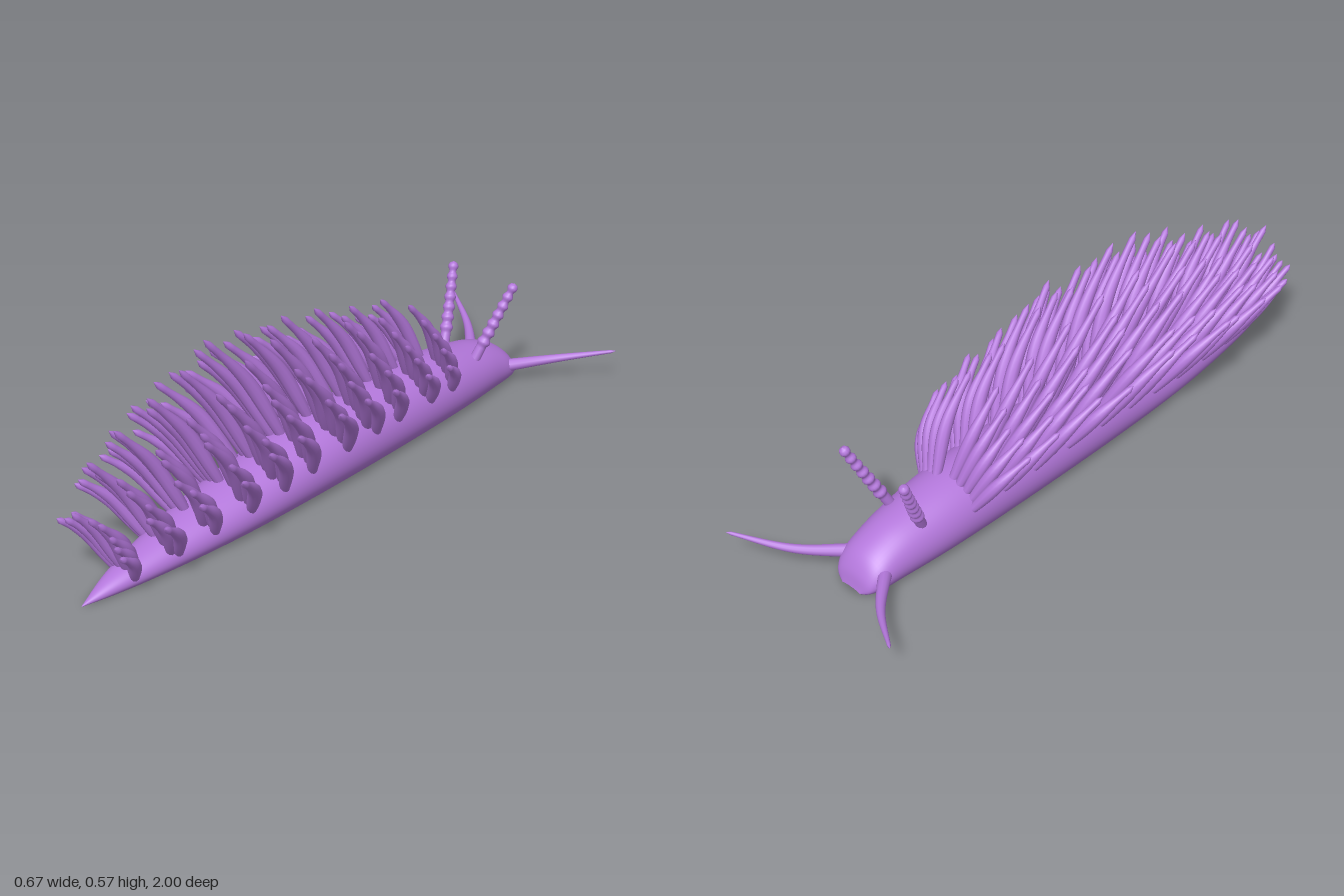
import * as THREE from 'three';
import { mergeVertices } from 'three/addons/utils/BufferGeometryUtils.js';

const V = (x, y, z) => new THREE.Vector3(x, y, z);

// Body outline from head to tail: half width, height, z
const outline = new THREE.CatmullRomCurve3([
  [0.035, 0.01, -0.84], [0.068, 0.06, -0.825], [0.088, 0.105, -0.79], [0.1, 0.145, -0.71],
  [0.113, 0.17, -0.6], [0.122, 0.188, -0.48], [0.13, 0.202, -0.2], [0.13, 0.195, 0.1],
  [0.117, 0.15, 0.4], [0.095, 0.115, 0.6], [0.06, 0.07, 0.8], [0.035, 0.042, 0.9], [0.001, 0.002, 1],
].map(p => V(...p)));

// Rounded section with a flat sole; a = angle from +x, over the back
function section(o, a) {
  const s = Math.sin(a);
  return V(o.x * Math.cos(a), o.y * (0.4 + (s > 0 ? 0.6 : 0.5657) * s), o.z);
}

// Outline at a given z, by bisection
function outlineAt(z) {
  let lo = 0, hi = 1;
  for (let i = 0; i < 30; i++) {
    const m = (lo + hi) / 2;
    if (outline.getPoint(m).z < z) lo = m; else hi = m;
  }
  return outline.getPoint(lo);
}

// Grid whose vertices are placed by fn(u, v)
function sheet(nu, nv, fn) {
  const g = new THREE.PlaneGeometry(1, 1, nu, nv);
  const p = g.attributes.position;
  for (let i = 0; i < p.count; i++) {
    const q = fn(p.getX(i) + 0.5, p.getY(i) + 0.5);
    p.setXYZ(i, q.x, q.y, q.z);
  }
  g.computeVertexNormals();
  return g;
}

// Tube along points with radius given by rule r(t)
function taperedTube(points, segs, sides, r) {
  const curve = new THREE.CatmullRomCurve3(points);
  const g = new THREE.TubeGeometry(curve, segs, 1, sides, false);
  const p = g.attributes.position, q = new THREE.Vector3();
  for (let i = 0; i <= segs; i++) {
    const c = curve.getPointAt(i / segs), rad = r(i / segs);
    for (let j = 0; j <= sides; j++) {
      const k = i * (sides + 1) + j;
      q.fromBufferAttribute(p, k).sub(c).multiplyScalar(rad).add(c);
      p.setXYZ(k, q.x, q.y, q.z);
    }
  }
  g.deleteAttribute('uv');
  g.deleteAttribute('normal');
  const m = mergeVertices(g, 1e-5);
  m.computeVertexNormals();
  return m;
}

export function createModel() {
  const root = new THREE.Group();
  root.name = 'seaSlug';
  const purple = new THREE.MeshStandardMaterial({ color: 0xb478dc });
  purple.name = 'purple';
  const add = (parent, name, geo) => {
    const mesh = new THREE.Mesh(geo, purple);
    mesh.name = name;
    parent.add(mesh);
  };

  let seed = 7;
  const rand = () => (seed = (seed * 16807) % 2147483647) / 2147483647;
  const jitter = k => 1 + (rand() - 0.5) * 2 * k;

  // Body and flat sole
  add(root, 'body', sheet(40, 72, (u, v) =>
    section(outline.getPoint(v), Math.PI * (-0.25 + 1.5 * u))));
  add(root, 'sole', sheet(2, 72, (u, v) => {
    const o = outline.getPoint(v);
    return V(o.x * 0.7071 * (2 * u - 1), 0, o.z);
  }));

  for (const side of [1, -1]) {
    const name = side > 0 ? 'left' : 'right';

    // Long feelers beside the mouth
    add(root, name + 'OralTentacle', taperedTube(
      [V(side * 0.06, 0.056, -0.76), V(side * 0.18, 0.075, -0.89), V(side * 0.335, 0.113, -1)],
      24, 12, t => t === 1 ? 0.0005 : 0.021 - 0.0165 * t));

    // Ringed horns on the head
    add(root, name + 'Rhinophore', taperedTube(
      [V(side * 0.06, 0.13, -0.615), V(side * 0.09, 0.255, -0.675), V(side * 0.122, 0.38, -0.733)],
      64, 12, t => {
        if (t === 1) return 0.0005;
        const ring = t > 0.2 ? Math.sin((t - 0.2) / 0.8 * Math.PI * 7) ** 2 : 0;
        return 0.017 - 0.007 * t + 0.006 * ring;
      }));
  }

  // Rows of finger-like gills along the back, swept towards the tail
  const rows = 11, perSide = 5;
  const gillRadius = t => {
    const body = 0.015 + 0.0085 * Math.sin(Math.PI * Math.min(1, t * 1.25)) - 0.005 * t;
    return t > 0.94 ? Math.max(0.0005, body * Math.sqrt(Math.max(0, 1 - ((t - 0.94) / 0.06) ** 2))) : body;
  };
  for (let i = 0; i < rows; i++) {
    const row = new THREE.Group();
    row.name = 'gillRow' + (i + 1);
    root.add(row);
    const size = 0.68 + 0.32 * Math.sin(Math.PI * i / (rows - 1));
    for (const side of [1, -1]) {
      for (let j = 0; j < perSide; j++) {
        const u = j / (perSide - 1);
        const z = -0.46 + 0.129 * i + (rand() - 0.5) * 0.03;
        const base = section(outlineAt(z), Math.PI / 2 - (0.2 + 0.93 * u));
        base.multiply(V(side * 0.95, 0.95, 1));
        const len = size * jitter(0.1);
        const reach = V(
          side * (0.04 + 0.085 * u) * len * jitter(0.15),
          (0.36 - 0.13 * u) * len,
          (0.235 - 0.055 * u) * len);
        const tip = base.clone().add(reach);
        tip.z = Math.min(tip.z, 0.99);
        // Rises first, then bends back
        const mid = base.clone().lerp(tip, 0.5).add(V(side * 0.008, 0.012, -0.022 * len));
        add(row, 'gill', taperedTube([base, mid, tip], 18, 10,
          t => gillRadius(t) * (0.7 + 0.3 * size)));
      }
    }
  }
  return root;
}
